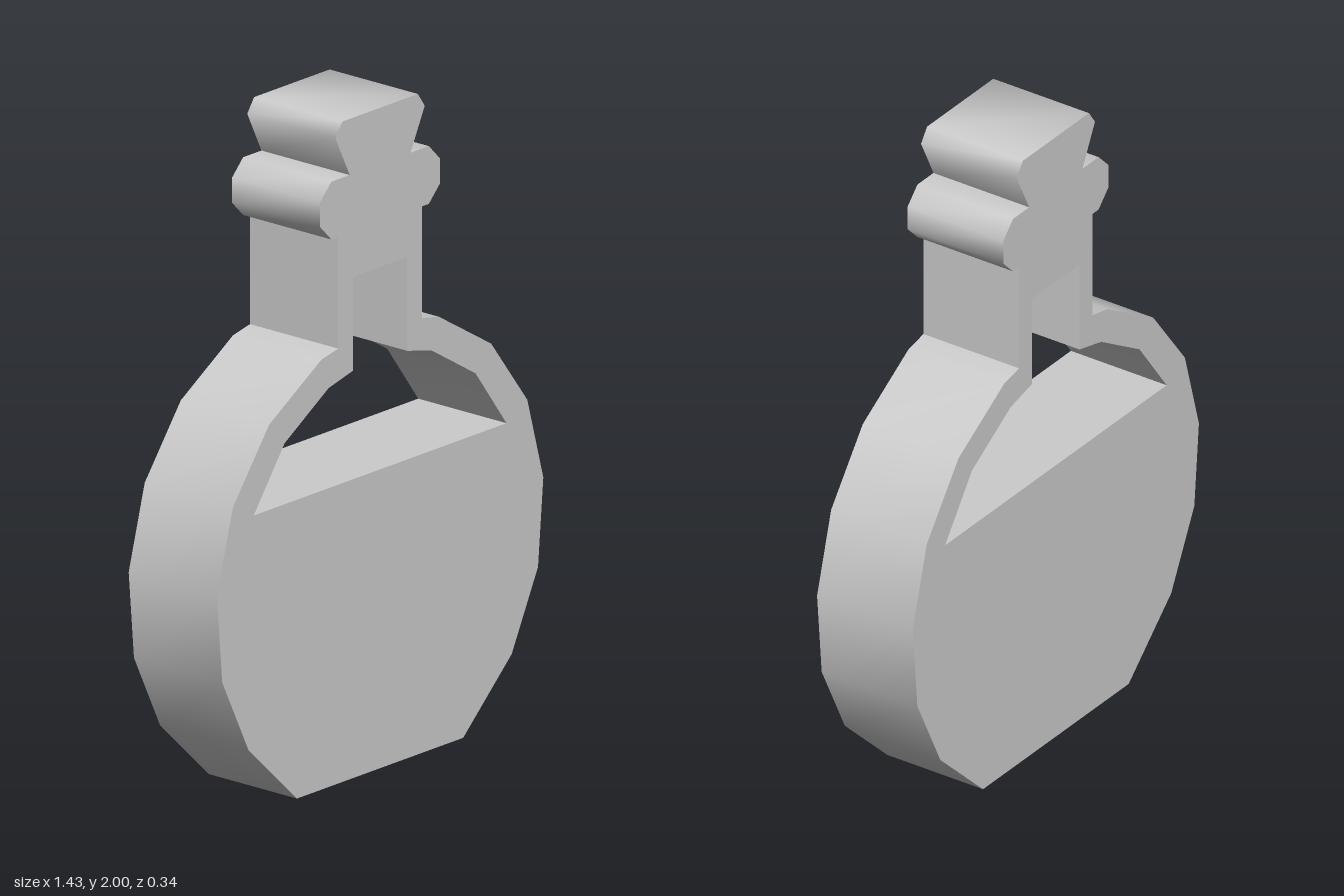
import * as THREE from 'three';
import { toCreasedNormals } from 'three/addons/utils/BufferGeometryUtils.js';

const DEPTH = 0.336;

// Right half of the outer outline, from the base up to the stopper top
const OUTER = [
  [0.363, 0], [0.575, 0.2], [0.69, 0.435], [0.713, 0.7], [0.643, 0.953], // round body
  [0.485, 1.163], [0.257, 1.302], [0.183, 1.317],                        // shoulder
  [0.183, 1.655], [0.213, 1.655], [0.262, 1.705], [0.262, 1.78],         // neck and lip
  [0.213, 1.83], [0.133, 1.83], [0.195, 1.957], [0.165, 2],              // stopper
];

// Right half of the empty space above the liquid
const INNER = [
  [0.552, 0.905], [0.417, 1.09], [0.225, 1.208], [0.118, 1.234], [0.118, 1.518],
];

// Closes a right-hand outline with its mirror image
function mirrored(half) {
  const left = half.map(([x, y]) => [-x, y]).reverse();
  return [...half, ...left].map(([x, y]) => new THREE.Vector2(x, y));
}

export function createModel() {
  const group = new THREE.Group();
  group.name = 'flask';

  const shape = new THREE.Shape(mirrored(OUTER));
  shape.holes.push(new THREE.Path(mirrored(INNER)));

  // Flat flask slab: smooth rim, sharp front and back edges
  const slab = new THREE.ExtrudeGeometry(shape, { depth: DEPTH, bevelEnabled: false });
  slab.translate(0, 0, -DEPTH / 2);
  const geometry = toCreasedNormals(slab, THREE.MathUtils.degToRad(65));

  const body = new THREE.Mesh(geometry, new THREE.MeshStandardMaterial({ color: 0xcccccc }));
  body.name = 'flaskBody';
  group.add(body);
  return group;
}
